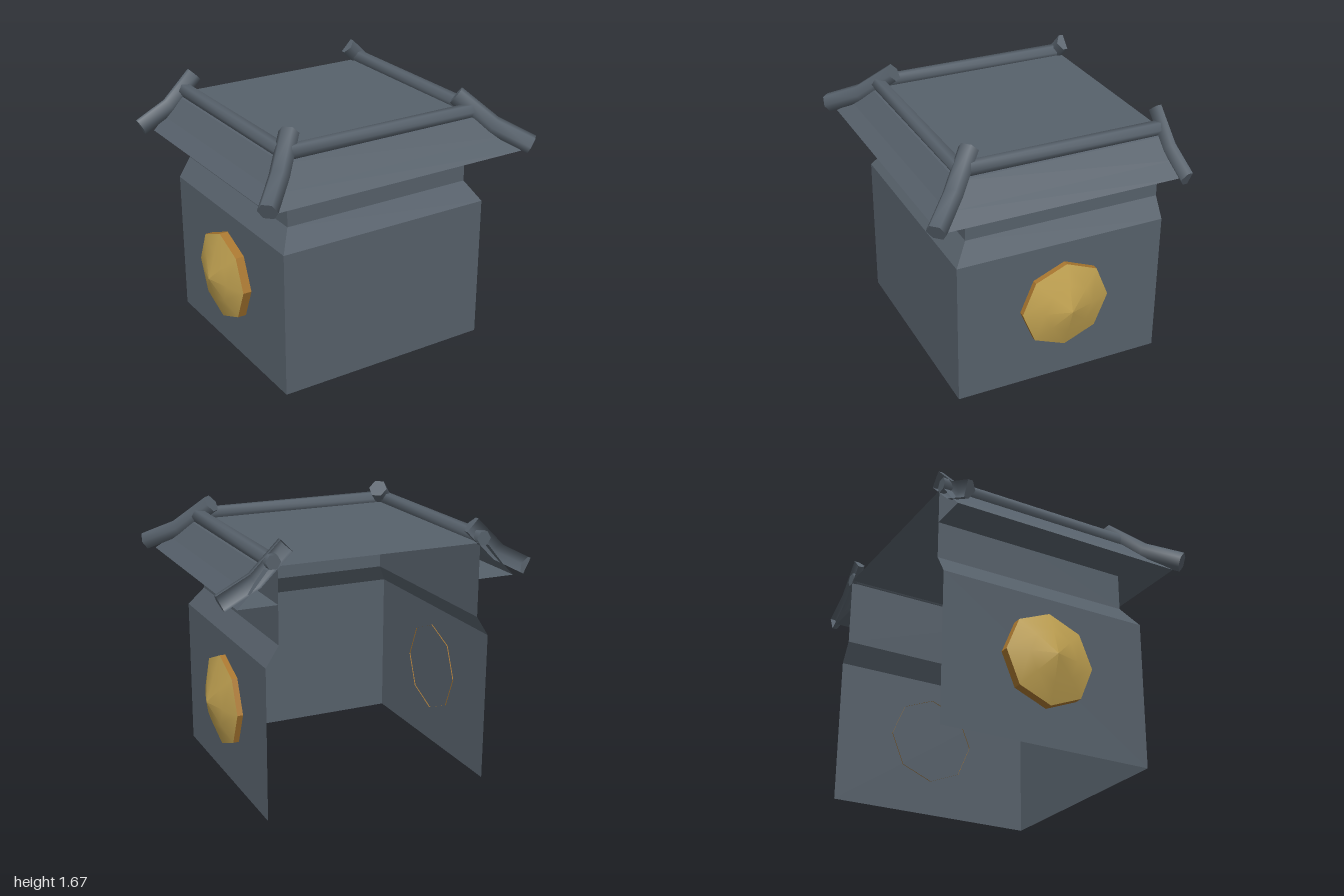
import * as THREE from 'three';

const slate = new THREE.MeshStandardMaterial({ color: 0x57616b, side: THREE.DoubleSide });
const gold = new THREE.MeshStandardMaterial({ color: 0xc2a352, side: THREE.DoubleSide });
const bronze = new THREE.MeshStandardMaterial({ color: 0xa8762f, side: THREE.DoubleSide });

const BACK = -0.81;
const FULL = [0, 60, 120, 180, 240, 300];
const HALF = [-90, -60, 0, 60, 90];

function mesh(name, geometry, material) {
  const m = new THREE.Mesh(geometry, material);
  m.name = name;
  return m;
}

function toGeometry(positions, index) {
  const g = new THREE.BufferGeometry();
  g.setAttribute('position', new THREE.Float32BufferAttribute(positions, 3));
  g.setIndex(index);
  g.computeVertexNormals();
  return g;
}

// U-shaped shell, open at the back: profile rows are [half width, height, front z]
function shell(profile) {
  const pos = [], idx = [];
  const corners = ([x, y, z]) => [[-x, y, BACK], [-x, y, z], [x, y, z], [x, y, BACK]];
  for (let i = 0; i + 1 < profile.length; i++) {
    const low = corners(profile[i]), high = corners(profile[i + 1]);
    for (let j = 0; j < 3; j++) {
      const n = pos.length / 3;
      pos.push(...low[j], ...low[j + 1], ...high[j], ...high[j + 1]);
      idx.push(n, n + 1, n + 2, n + 1, n + 3, n + 2);
    }
  }
  return toGeometry(pos, idx);
}

// Six-sided roof tile bar along a path; HALF keeps only the half on one side
function bar(name, path, r, angles, flip = 0) {
  const group = new THREE.Group();
  group.name = name;
  const pts = path.map((p) => new THREE.Vector3(...p));
  const n = angles.length, closed = angles === FULL;
  const rings = pts.map((p, i) => {
    const t = pts[Math.min(i + 1, pts.length - 1)].clone().sub(pts[Math.max(i - 1, 0)]).normalize();
    const side = new THREE.Vector3().crossVectors(t, new THREE.Vector3(0, 1, 0)).normalize();
    const up = new THREE.Vector3().crossVectors(side, t);
    return angles.map((deg) => {
      const a = THREE.MathUtils.degToRad(deg + flip);
      const rr = Math.abs(deg) === 90 ? r * 0.866 : r;
      return p.clone().addScaledVector(side, rr * Math.cos(a)).addScaledVector(up, rr * Math.sin(a)).toArray();
    });
  });
  const idx = [];
  for (let i = 0; i + 1 < rings.length; i++) {
    for (let j = 0; j < (closed ? n : n - 1); j++) {
      const a = i * n + j, b = i * n + (j + 1) % n;
      idx.push(a, a + n, b, b, a + n, b + n);
    }
  }
  group.add(mesh('barSurface', toGeometry(rings.flat(2), idx), slate));
  // End caps
  [rings[0], rings[rings.length - 1]].forEach((ring, k) => {
    const cap = [];
    for (let j = 1; j + 1 < n; j++) cap.push(0, ...(k ? [j + 1, j] : [j, j + 1]));
    group.add(mesh('barEnd', toGeometry(ring.flat(), cap), slate));
  });
  return group;
}

// Octagonal gong on a side wall
function gong(s, rimX, tipX) {
  const group = new THREE.Group();
  group.name = s > 0 ? 'leftGong' : 'rightGong';
  const inner = 0.714, r = 0.29;
  const rimGeo = new THREE.CylinderGeometry(r, r, rimX - inner, 8, 1, true).toNonIndexed();
  rimGeo.computeVertexNormals();
  const rim = mesh('gongRim', rimGeo, bronze);
  rim.position.y = (rimX + inner) / 2;
  const h = tipX - rimX;
  const dome = mesh('gongDome', new THREE.LatheGeometry([
    new THREE.Vector2(r, 0), new THREE.Vector2(0.16, h * 0.5), new THREE.Vector2(0, h),
  ], 8), gold);
  dome.position.y = rimX;
  group.add(rim, dome);
  group.rotation.z = -s * Math.PI / 2;
  group.position.set(0, 0.52, -0.14);
  return group;
}

export function createModel() {
  const model = new THREE.Group();
  model.name = 'gatehouse';

  // Walls with a chamfered step, and the flat top
  model.add(mesh('walls', shell([
    [0.72, 0, 0.56], [0.72, 0.94, 0.56], [0.64, 1.065, 0.47], [0.64, 1.52, 0.47],
  ]), slate));
  const top = mesh('flatTop', new THREE.PlaneGeometry(1.28, 0.47 - BACK), slate);
  top.rotation.x = -Math.PI / 2;
  top.position.set(0, 1.52, (0.47 + BACK) / 2);
  model.add(top);

  // Skirt roof and its underside
  model.add(mesh('skirtRoof', shell([
    [0.88, 1.3, 0.72], [0.8, 1.38, 0.64], [0.7, 1.5, 0.54], [0.64, 1.53, 0.47],
  ]), slate));
  model.add(mesh('soffit', shell([[0.64, 1.3, 0.47], [0.88, 1.3, 0.72]]), slate));

  // Ridge along the front
  model.add(bar('frontRidge', [[-0.65, 1.544, 0.505], [0.65, 1.544, 0.505]], 0.046, FULL));

  for (const s of [-1, 1]) {
    model.add(bar('sideRidge', [[s * 0.665, 1.544, 0.505], [s * 0.665, 1.544, BACK]], 0.046, FULL));
    // Curved hip bars at the front corners, half bars at the open back
    model.add(bar('frontHip', [
      [s * 0.59, 1.625, 0.42], [s * 0.755, 1.45, 0.59], [s * 0.925, 1.345, 0.76],
    ], 0.061, FULL));
    model.add(bar('backHip', [
      [s * 0.585, 1.63, BACK], [s * 0.77, 1.45, BACK], [s * 0.975, 1.345, BACK],
    ], 0.06, HALF, s > 0 ? 0 : 180));
  }

  model.add(gong(1, 0.756, 0.85), gong(-1, 0.776, 0.866));
  return model;
}
